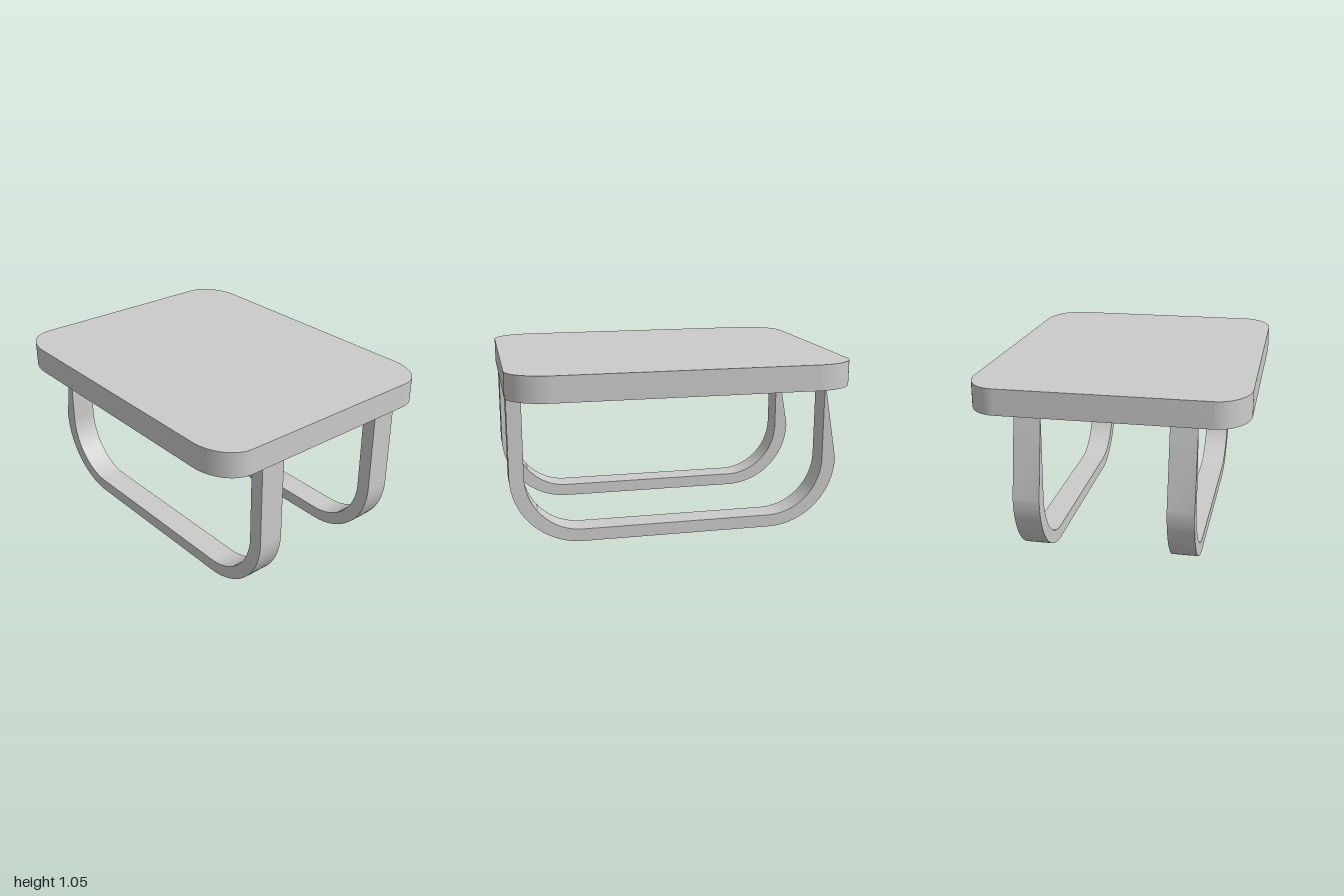
import * as THREE from 'three';
import { toCreasedNormals } from 'three/addons/utils/BufferGeometryUtils.js';

const material = new THREE.MeshStandardMaterial({ color: 0xcccccc });

function extrude(shape, depth) {
  const geometry = new THREE.ExtrudeGeometry(shape, { depth, bevelEnabled: false, curveSegments: 16 });
  return toCreasedNormals(geometry, 0.6);
}

// Rectangle with elliptical corners, hx and hz are half sizes
function roundedRectangle(hx, hz, rx, rz) {
  const shape = new THREE.Shape();
  const corners = [[1, 1], [-1, 1], [-1, -1], [1, -1]];
  corners.forEach(([sx, sz], i) => {
    const start = i * Math.PI / 2;
    shape.absellipse(sx * (hx - rx), sz * (hz - rz), rx, rz, start, start + Math.PI / 2, false);
  });
  shape.closePath();
  return shape;
}

// U-shaped band: outer outline down and round, inner outline back
function legOutline(top) {
  const shape = new THREE.Shape();
  const cx = 0.57, cy = 0.415;
  shape.moveTo(-0.99, top);
  shape.absellipse(-cx, cy, 0.42, 0.415, Math.PI, 1.5 * Math.PI, false);
  shape.absellipse(cx, cy, 0.42, 0.415, 1.5 * Math.PI, 2 * Math.PI, false);
  shape.lineTo(0.99, top);
  shape.lineTo(0.905, top);
  shape.absellipse(cx, cy, 0.335, 0.34, 0, -Math.PI / 2, true);
  shape.absellipse(-cx, cy, 0.335, 0.34, 1.5 * Math.PI, Math.PI, true);
  shape.lineTo(-0.905, top);
  shape.closePath();
  return shape;
}

export function createModel() {
  const model = new THREE.Group();
  model.name = 'table';

  // Table top
  const topGeometry = extrude(roundedRectangle(1, 0.78, 0.25, 0.19), 0.15);
  topGeometry.rotateX(-Math.PI / 2);
  const tableTop = new THREE.Mesh(topGeometry, material);
  tableTop.name = 'tableTop';
  tableTop.position.y = 0.9;
  model.add(tableTop);

  // Front and back leg loops
  const legGeometry = extrude(legOutline(0.9), 0.152);
  legGeometry.translate(0, 0, -0.076);
  for (const [name, z] of [['frontLeg', 0.432], ['backLeg', -0.432]]) {
    const leg = new THREE.Mesh(legGeometry, material);
    leg.name = name;
    leg.position.z = z;
    model.add(leg);
  }
  return model;
}
